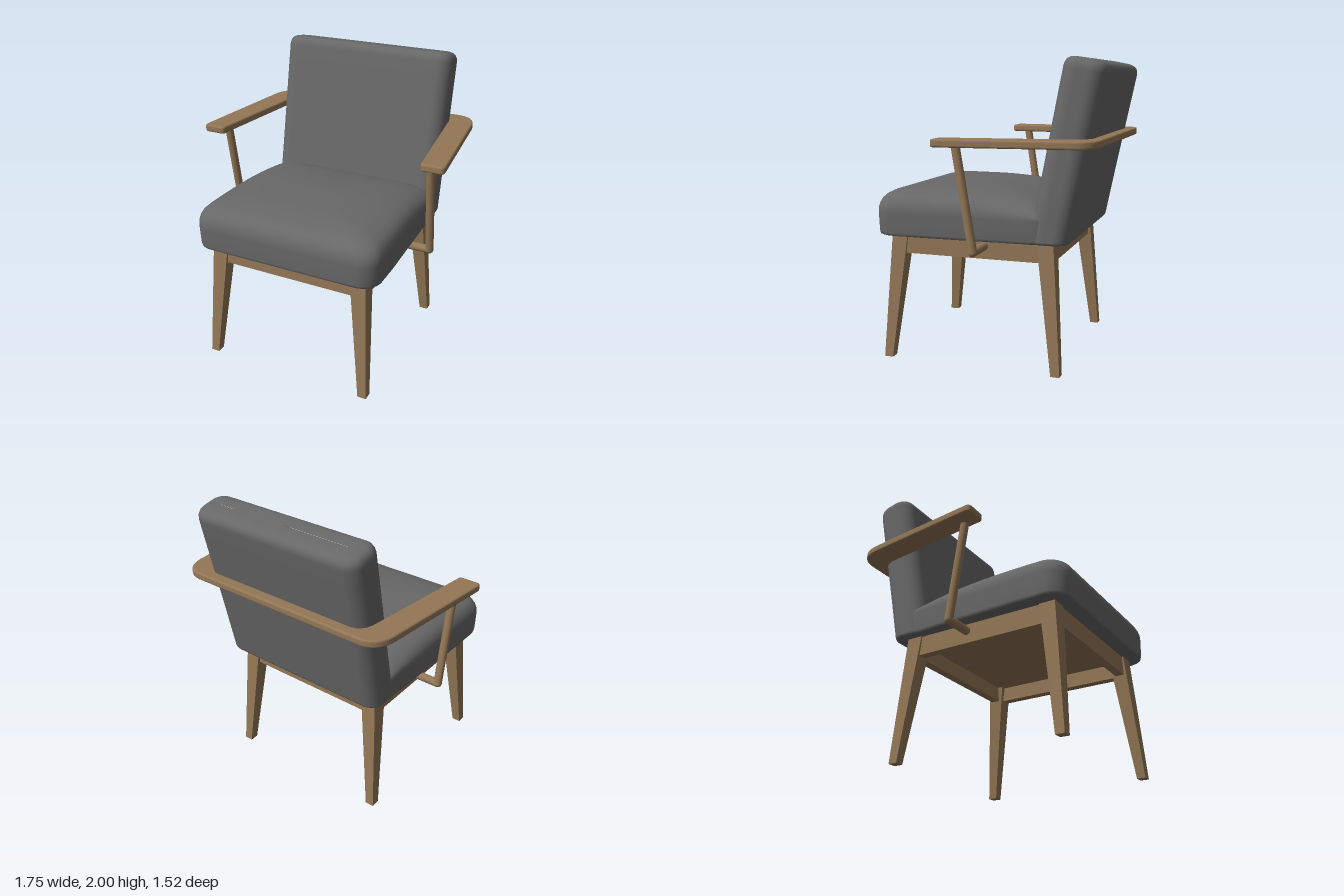
import * as THREE from 'three';

const wood = new THREE.MeshStandardMaterial({ color: 0x937756 });
wood.name = 'wood';
const fabric = new THREE.MeshStandardMaterial({ color: 0x686868 });
fabric.name = 'grey fabric';

function add(parent, name, geometry, material) {
  const mesh = new THREE.Mesh(geometry, material);
  mesh.name = name;
  parent.add(mesh);
  return mesh;
}

function box(parent, name, size, pos) {
  add(parent, name, new THREE.BoxGeometry(...size), wood).position.set(...pos);
}

// Rounded rectangle outline in the xz plane, with points along the straight sides
function outline(hw, hd, r) {
  const arcs = 8, sides = 10, pts = [];
  const corners = [[1, 1], [-1, 1], [-1, -1], [1, -1]];
  const at = (c, a) => new THREE.Vector2(
    corners[c][0] * (hw - r) + r * Math.cos(a), corners[c][1] * (hd - r) + r * Math.sin(a));
  for (let c = 0; c < 4; c++) {
    for (let i = 0; i <= arcs; i++) pts.push(at(c, (c + i / arcs) * Math.PI / 2));
    const from = pts[pts.length - 1], to = at((c + 1) % 4, (c + 1) * Math.PI / 2);
    for (let i = 1; i < sides; i++) pts.push(from.clone().lerp(to, i / sides));
  }
  return pts;
}

// Skin over stacked outlines [halfWidth, halfDepth, radius, y], bent by a rule
function cushion(rings, bend) {
  const pos = [], index = [];
  let n = 0;
  for (const [hw, hd, r, y] of rings) {
    const pts = outline(hw, hd, r);
    n = pts.length;
    for (const p of pts) pos.push(...bend(p.x, y, p.y));
  }
  for (let k = 0; k < rings.length - 1; k++) {
    for (let i = 0; i < n; i++) {
      const a = k * n + i, b = k * n + (i + 1) % n;
      index.push(a, a + n, b, b, a + n, b + n);
    }
  }
  const g = new THREE.BufferGeometry();
  g.setAttribute('position', new THREE.Float32BufferAttribute(pos, 3));
  g.setIndex(index);
  g.computeVertexNormals();
  return g;
}

// Cylinder between two points
function rod(parent, name, a, b, r) {
  const m = add(parent, name, new THREE.CylinderGeometry(r, r, a.distanceTo(b), 20), wood);
  m.position.copy(a).lerp(b, 0.5);
  m.quaternion.setFromUnitVectors(new THREE.Vector3(0, 1, 0), b.clone().sub(a).normalize());
}

// Tapered, splayed leg
function legGeometry(sx, sz) {
  const g = new THREE.BoxGeometry(1, 1, 1), p = g.attributes.position;
  for (let i = 0; i < p.count; i++) {
    const top = p.getY(i) > 0;
    const outX = p.getX(i) * sx > 0, outZ = p.getZ(i) * sz > 0;
    const x = top ? (outX ? 0.56 : 0.45) : (outX ? 0.605 : 0.545);
    const z = top ? (outZ ? 0.555 : 0.445) : (outZ ? 0.615 : 0.555);
    p.setXYZ(i, sx * x, top ? 0.855 : 0, 0.115 + sz * z);
  }
  g.computeVertexNormals();
  return g;
}

export function createModel() {
  const chair = new THREE.Group();
  chair.name = 'armchair';

  // Crowned seat cushion, narrowing and dipping towards the back
  const seatRings = [[0, 0.85], [0.975, 0.85], [0.988, 0.855], [0.993, 0.87], [0.997, 0.93],
    [1, 1.0], [0.997, 1.03], [0.985, 1.06], [0.96, 1.09], [0.92, 1.115], [0.85, 1.137],
    [0.7, 1.157], [0.5, 1.166], [0.25, 1.17], [0, 1.17]]
    .map(([s, y]) => [0.658 * s, 0.61 * s, 0.13 * s, y]);
  add(chair, 'seatCushion', cushion(seatRings, (x, y, lz) => {
    const z = lz + 0.16;
    const dip = y > 1 ? 0.055 * (Math.max(0, 0.3 - z) / 0.63) ** 2 * Math.min(1, (y - 1) / 0.1) : 0;
    return [x * (1 - 0.054 * Math.max(0, 0.45 - z)), y - dip, z];
  }), fabric);

  // Leaning backrest with rounded upright edges and a tilted top
  const backRings = [[0.132, 0.85], [0.015, 0.85], [0.005, 0.855], [0, 0.87], [0, 1.2], [0, 1.6],
    [0, 1.8], [0, 1.92], [0.004, 1.945], [0.014, 1.964], [0.03, 1.977], [0.055, 1.984],
    [0.09, 1.986], [0.132, 1.986]]
    .map(([d, y]) => [0.629 - d, 0.1325 - d, Math.max(0.095 - d * 0.8, 0.0) * (d > 0.1 ? 0 : 1) || 0, y])
    .map(([w, d, r, y]) => [w, d, Math.min(r, d), y]);
  add(chair, 'backrest', cushion(backRings, (x, y, lz) => {
    const tilt = 0.2 * lz * THREE.MathUtils.smoothstep(y, 1.2, 1.92);
    return [x, y + tilt, -0.4075 - 0.2 * (y - 0.85) + lz];
  }), fabric);

  // Flat armrest band wrapping round the back
  const half = [[0.63, -0.745], [0.79, -0.6], [0.88, 0.25], [0.72, 0.25]];
  const band = new THREE.Shape();
  band.moveTo(0, half[0][1]);
  band.lineTo(0.64, -0.745);
  band.bezierCurveTo(0.73, -0.745, 0.785, -0.69, 0.797, -0.59);
  band.lineTo(0.876, 0.21);
  band.quadraticCurveTo(0.88, 0.25, 0.845, 0.25);
  band.lineTo(0.75, 0.25);
  band.quadraticCurveTo(0.713, 0.25, 0.717, 0.21);
  band.lineTo(0.625, -0.58);
  band.lineTo(-0.625, -0.58);
  band.lineTo(-0.717, 0.21);
  band.quadraticCurveTo(-0.713, 0.25, -0.75, 0.25);
  band.lineTo(-0.845, 0.25);
  band.quadraticCurveTo(-0.88, 0.25, -0.876, 0.21);
  band.lineTo(-0.797, -0.59);
  band.bezierCurveTo(-0.785, -0.69, -0.73, -0.745, -0.64, -0.745);
  const bevel = 0.012;
  const arm = new THREE.ExtrudeGeometry(band, {
    depth: 0.05 - 2 * bevel, bevelThickness: bevel, bevelSize: bevel, bevelOffset: -bevel,
    bevelSegments: 3, curveSegments: 12,
  });
  arm.rotateX(Math.PI / 2);
  arm.translate(0, 1.51 - bevel, 0);
  add(chair, 'armrestBand', arm, wood);

  // Bent rods carrying the armrests
  for (const s of [-1, 1]) {
    const support = new THREE.Group();
    support.name = s > 0 ? 'leftArmSupport' : 'rightArmSupport';
    const top = new THREE.Vector3(s * 0.752, 1.475, 0.132);
    const elbow = new THREE.Vector3(s * 0.744, 0.804, 0.025);
    rod(support, 'upright', top, elbow, 0.028);
    rod(support, 'crossRod', elbow, new THREE.Vector3(s * 0.5, 0.804, 0.025), 0.028);
    add(support, 'elbow', new THREE.SphereGeometry(0.028, 20, 14), wood).position.copy(elbow);
    chair.add(support);
  }

  // Base: legs, rails and the board beneath the seat
  const base = new THREE.Group();
  base.name = 'base';
  chair.add(base);
  for (const s of [-1, 1]) {
    for (const t of [-1, 1]) {
      add(base, (t > 0 ? 'front' : 'back') + (s > 0 ? 'Left' : 'Right') + 'Leg', legGeometry(s, t), wood);
    }
    box(base, s > 0 ? 'leftRail' : 'rightRail', [0.06, 0.135, 0.95], [s * 0.52, 0.7875, 0.115]);
    box(base, s > 0 ? 'frontRail' : 'backRail', [0.96, 0.135, 0.06], [0, 0.7875, 0.115 + s * 0.515]);
  }
  box(base, 'seatBoard', [1.02, 0.03, 1.02], [0, 0.838, 0.115]);

  return chair;
}
